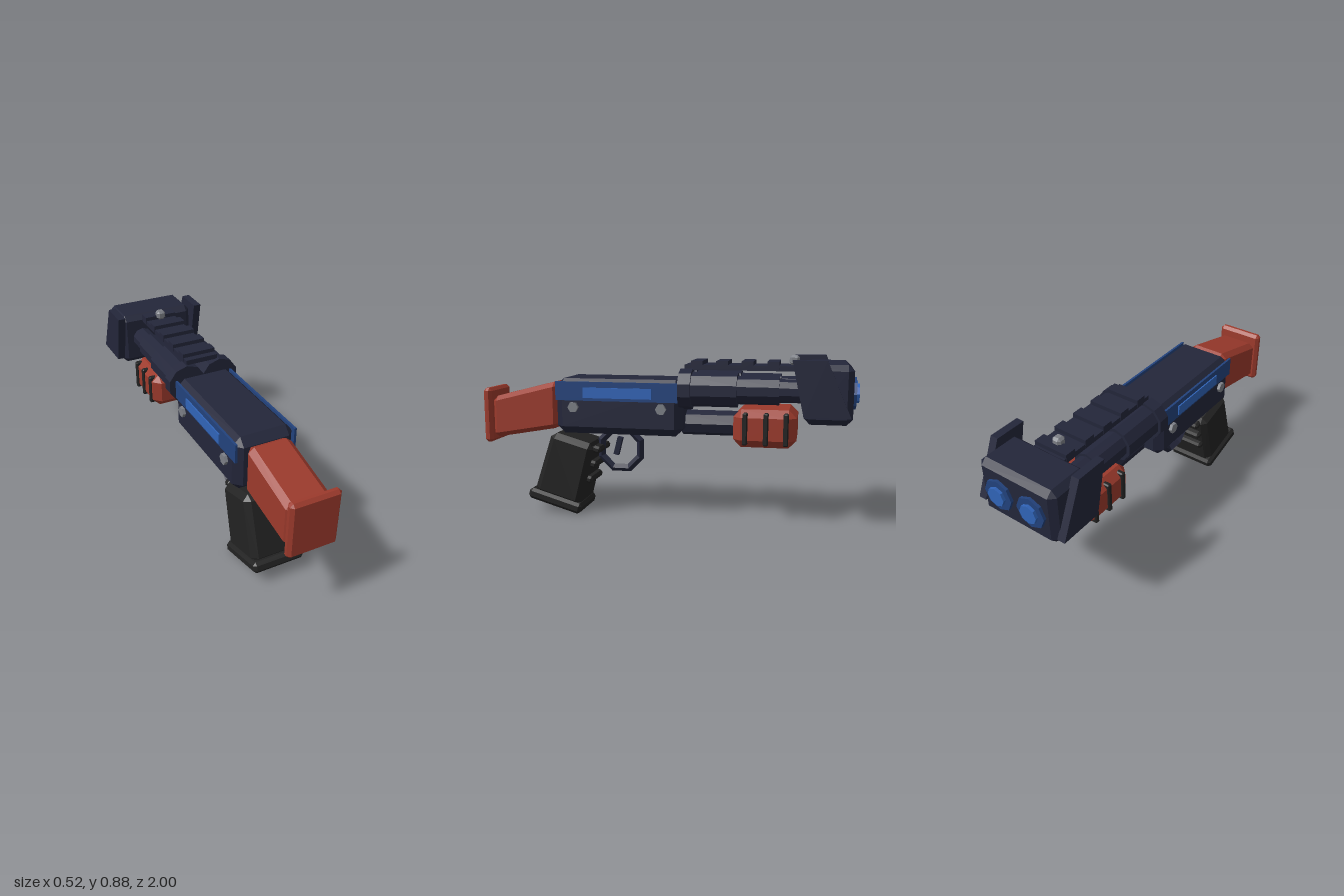
import * as THREE from 'three';
import { ConvexGeometry } from 'three/addons/geometries/ConvexGeometry.js';

const mat = (color) => new THREE.MeshStandardMaterial({ color, flatShading: true });
const NAVY = mat(0x23263a), RED = mat(0x9c3a2c), BLACK = mat(0x222222);
const BLUE = mat(0x22427c), BRIGHT = mat(0x3064b8), STEEL = mat(0x7c7f86);

export function createModel() {
  const model = new THREE.Group();

  const add = (name, geometry, material, x = 0, y = 0, z = 0, parent = model) => {
    const mesh = new THREE.Mesh(geometry, material);
    mesh.name = name;
    mesh.position.set(x, y, z);
    parent.add(mesh);
    return mesh;
  };

  // Box with every edge chamfered by c; an optional rule moves its points
  const chamferBox = (w, h, d, c, rule) => {
    const points = [];
    for (const i of [-1, 1]) for (const j of [-1, 1]) for (const k of [-1, 1])
      for (let flush = 0; flush < 3; flush++) {
        const inset = [c, c, c];
        inset[flush] = 0;
        const p = new THREE.Vector3(
          i * (w / 2 - inset[0]), j * (h / 2 - inset[1]), k * (d / 2 - inset[2]));
        if (rule) rule(p);
        points.push(p);
      }
    return new ConvexGeometry(points);
  };

  // Cylinder lying along z between two depths
  const rod = (name, r, zFront, zBack, x, y, material, sides = 10) =>
    add(name, new THREE.CylinderGeometry(r, r, zBack - zFront, sides).rotateX(Math.PI / 2),
      material, x, y, (zFront + zBack) / 2);

  // Stock, dropping and thinning towards the butt
  add('stock', chamferBox(0.23, 1, 0.39, 0.03, (p) => {
    const t = p.z / 0.39 + 0.5;
    const inner = Math.abs(p.y) < 0.49 ? 0.025 : 0;
    const half = THREE.MathUtils.lerp(0.128, 0.113, t) - inner;
    p.y = THREE.MathUtils.lerp(0.608, 0.525, t) + Math.sign(p.y) * half;
  }), RED, 0, 0, 0.765);
  add('buttPlate', chamferBox(0.26, 0.3, 0.048, 0.016), RED, 0, 0.54, 0.976);

  // Receiver with side panels and bolts
  add('receiver', chamferBox(0.32, 0.295, 0.69, 0.04), NAVY, 0, 0.607, 0.225);
  for (const s of [-1, 1]) {
    add('sidePanel', new THREE.BoxGeometry(0.012, 0.1, 0.68), BLUE, s * 0.157, 0.69, 0.225);
    add('lightStrip', new THREE.BoxGeometry(0.014, 0.055, 0.37), BRIGHT, s * 0.163, 0.683, 0.225);
    for (const z of [0.465, -0.01])
      add('bolt', new THREE.CylinderGeometry(0.029, 0.029, 0.03, 6).rotateZ(Math.PI / 2),
        STEEL, s * 0.162, 0.605, z);
  }

  // Trigger and its guard
  add('triggerGuard', new THREE.TorusGeometry(0.118, 0.022, 4, 8)
    .rotateZ(Math.PI / 8).rotateY(Math.PI / 2), NAVY, 0, 0.362, 0.25);
  add('trigger', new THREE.BoxGeometry(0.03, 0.1, 0.028), NAVY, 0, 0.375, 0.265).rotation.x = -0.25;

  // Slanted grip, wider towards the bottom, with finger ridges
  const grip = new THREE.Group();
  grip.name = 'grip';
  grip.position.set(0, 0.2535, 0.54);
  grip.rotation.x = -0.28;
  model.add(grip);
  add('handle', chamferBox(0.26, 0.36, 0.262, 0.03, (p) => { p.z *= 1 - p.y * 0.28; }),
    BLACK, 0, 0, 0, grip);
  add('gripBase', chamferBox(0.282, 0.06, 0.31, 0.016), BLACK, 0, -0.187, 0.005, grip);
  for (const y of [0.155, 0.07, -0.02])
    add('fingerRidge', chamferBox(0.2, 0.04, 0.05, 0.012), BLACK, 0, y, -0.137, grip);

  // Twin stepped barrels and their glowing muzzles
  for (const s of [-1, 1]) {
    const x = s * 0.095;
    rod('barrelCollar', 0.105, -0.165, -0.1, x, 0.708, NAVY);
    rod('barrelRear', 0.09, -0.4, -0.14, x, 0.708, NAVY);
    rod('barrelMiddle', 0.073, -0.61, -0.39, x, 0.708, NAVY);
    rod('barrelFront', 0.06, -0.76, -0.6, x, 0.708, NAVY);
    rod('muzzleRing', 0.08, -0.985, -0.95, x, 0.705, BLUE, 8);
    rod('muzzleGlow', 0.048, -1, -0.95, x, 0.705, BRIGHT, 8);
  }

  // Top rail with cross teeth, and the front sight
  add('rail', new THREE.BoxGeometry(0.18, 0.026, 0.64), NAVY, 0, 0.82, -0.44);
  for (let i = 0; i < 5; i++)
    add('railTooth', new THREE.BoxGeometry(0.185, 0.04, 0.06), NAVY, 0, 0.834, -0.185 - i * 0.13);
  add('frontSight', chamferBox(0.05, 0.05, 0.05, 0.012), STEEL, 0, 0.859, -0.678);

  // Muzzle block with a slanted fin on each side
  add('muzzleBlock', chamferBox(0.44, 0.295, 0.235, 0.03), NAVY, 0, 0.703, -0.8525);
  const finShape = new THREE.Shape([[0.675, 0.873], [0.84, 0.873], [0.96, 0.598], [0.735, 0.598]]
    .map(([z, y]) => new THREE.Vector2(z, y)));
  const fin = new THREE.ExtrudeGeometry(finShape, { depth: 0.042, bevelEnabled: false })
    .rotateY(Math.PI / 2);
  for (const x of [-0.258, 0.216]) add('fin', fin, NAVY, x);

  // Magazine tube and sliding pump with straps
  rod('magazineTube', 0.067, -0.42, -0.1, 0, 0.52, NAVY, 8);
  add('pump', chamferBox(0.34, 0.195, 0.32, 0.04), RED, 0, 0.517, -0.542);
  for (const z of [-0.445, -0.55, -0.65])
    add('pumpStrap', chamferBox(0.362, 0.165, 0.026, 0.006), BLACK, 0, 0.518, z);

  return model;
}
